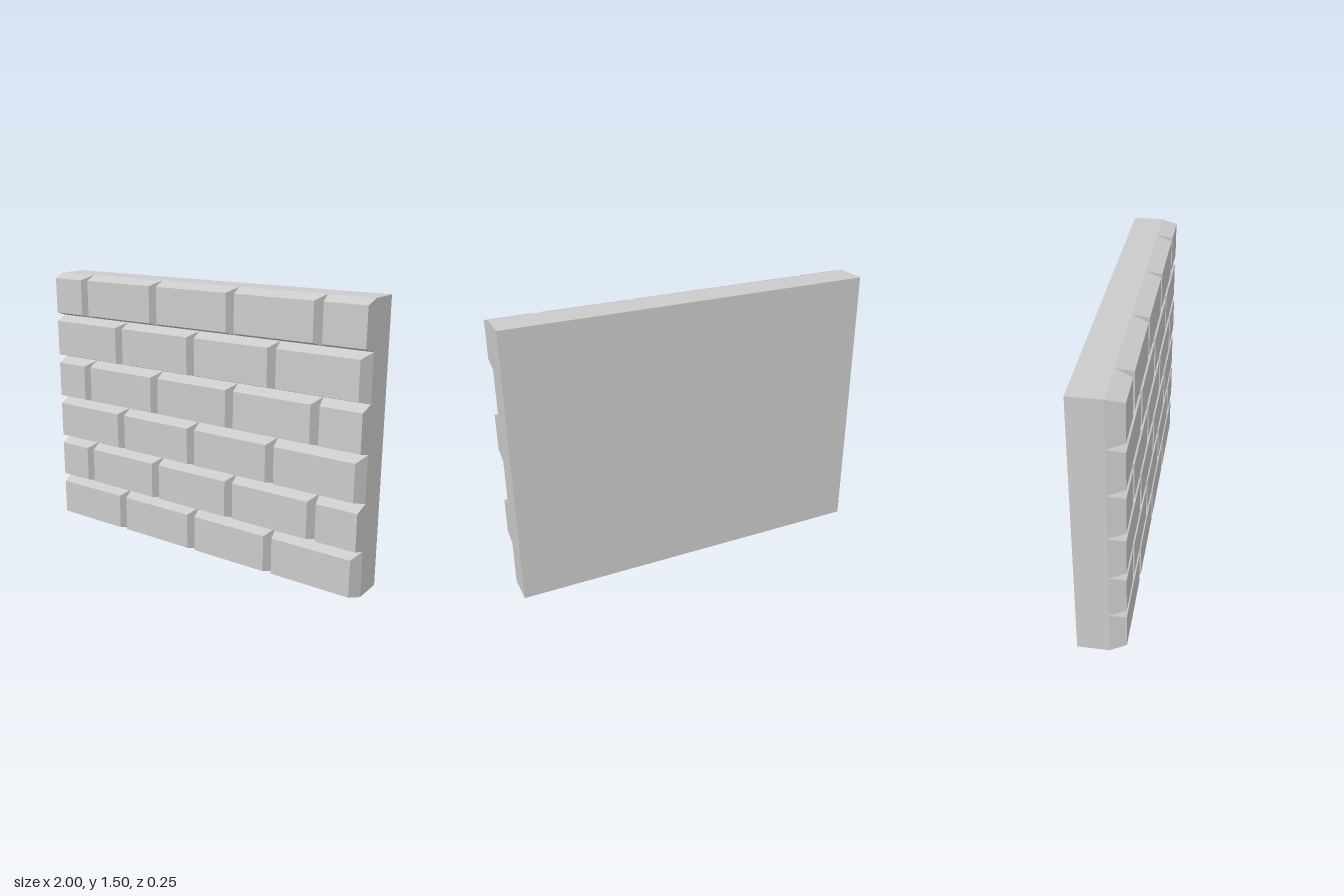
import * as THREE from 'three';

const WIDTH = 2, ROWS = 6, ROW_H = 0.25, BRICK_W = 0.5;
const BACK = -0.125, BASE = 0.04, FRONT = 0.125, BEVEL = 0.025;

const material = new THREE.MeshStandardMaterial({ color: 0xcccccc, flatShading: true });

// Box without one of its sides (order: +x, -x, +y, -y, +z, -z)
function openBox(w, h, d, openSide) {
  const geo = new THREE.BoxGeometry(w, h, d);
  const index = Array.from(geo.index.array);
  index.splice(openSide * 6, 6);
  geo.setIndex(index);
  geo.clearGroups();
  return geo;
}

// Brick from x0 to x1 whose front face is drawn in by the bevel
function brickGeometry(x0, x1, rightBevel) {
  const geo = openBox(x1 - x0, ROW_H, FRONT - BASE, 5);
  const p = geo.attributes.position;
  for (let i = 0; i < p.count; i++) {
    if (p.getZ(i) < 0) continue;
    p.setX(i, p.getX(i) + (p.getX(i) < 0 ? BEVEL : -rightBevel));
    p.setY(i, p.getY(i) - Math.sign(p.getY(i)) * BEVEL);
  }
  geo.computeVertexNormals();
  return geo;
}

export function createModel() {
  const wall = new THREE.Group();
  wall.name = 'brickWall';

  // Backing slab, its front covered by the bricks
  const slab = new THREE.Mesh(openBox(WIDTH, ROWS * ROW_H, BASE - BACK, 4), material);
  slab.name = 'backingSlab';
  slab.position.set(0, ROWS * ROW_H / 2, (BASE + BACK) / 2);
  wall.add(slab);

  // Running bond: every other course is shifted by half a brick
  for (let row = 0; row < ROWS; row++) {
    const course = new THREE.Group();
    course.name = `course${row + 1}`;
    const shifted = row % 2 === 1 ? false : true;
    const offset = shifted ? 0 : BRICK_W / 2;
    for (let x = -WIDTH / 2 - offset; x < WIDTH / 2; x += BRICK_W) {
      const x0 = Math.max(x, -WIDTH / 2), x1 = Math.min(x + BRICK_W, WIDTH / 2);
      // A brick cut at the wall's left end keeps a flush side
      const cut = x + BRICK_W > WIDTH / 2;
      const brick = new THREE.Mesh(brickGeometry(x0, x1, cut ? 0 : BEVEL), material);
      brick.name = cut || x < -WIDTH / 2 ? 'halfBrick' : 'brick';
      brick.position.set((x0 + x1) / 2, (row + 0.5) * ROW_H, (BASE + FRONT) / 2);
      course.add(brick);
    }
    wall.add(course);
  }
  return wall;
}
